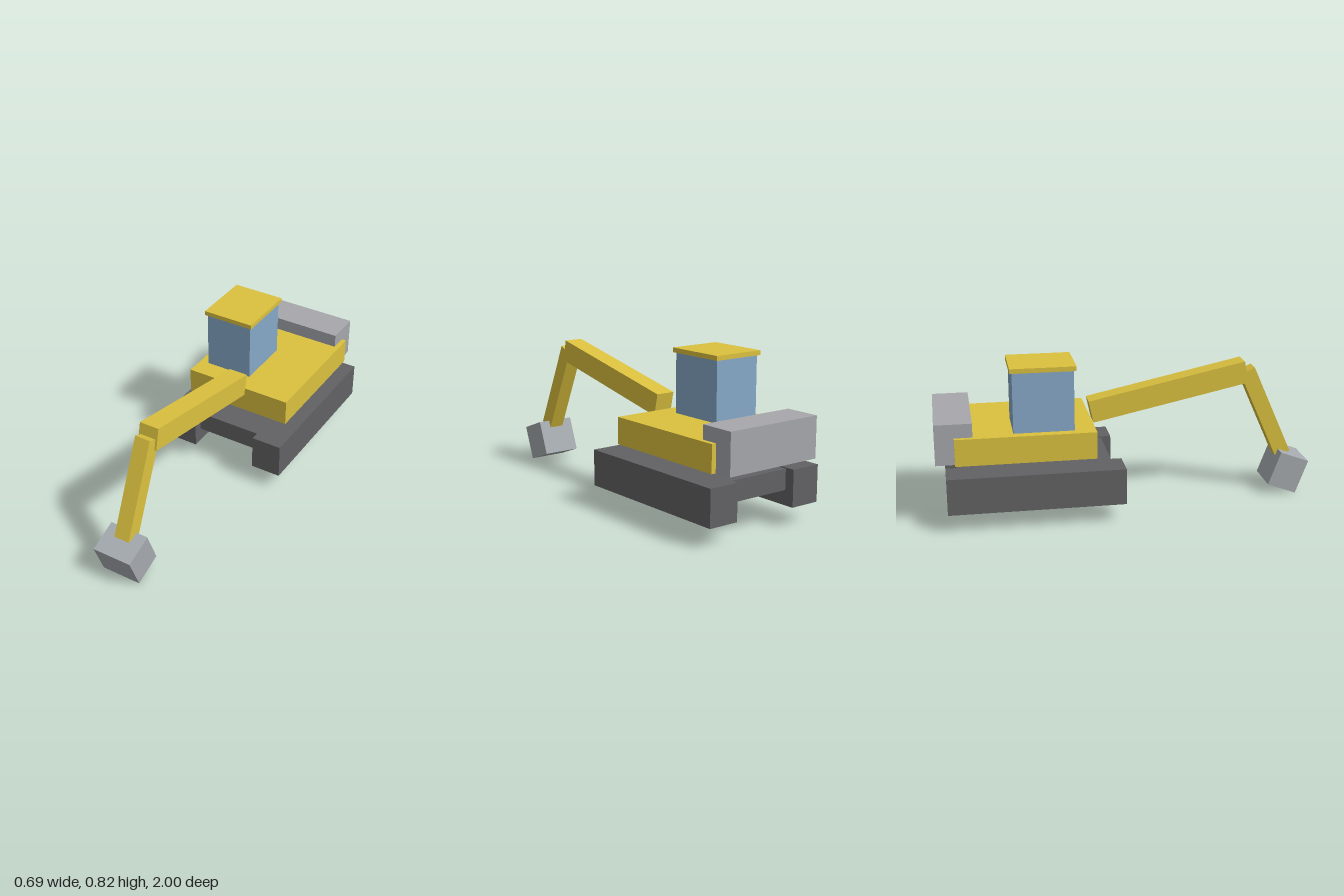
import * as THREE from 'three';

const paint = (name, color) => {
  const m = new THREE.MeshStandardMaterial({ color });
  m.name = name;
  return m;
};

export function createModel() {
  const group = new THREE.Group();
  const yellow = paint('yellow paint', 0xdbc13f);
  const dark = paint('dark rubber', 0x626264);
  const glass = paint('blue glass', 0x86a9c7);
  const steel = paint('bucket steel', 0xa5aaae);
  const ballast = paint('ballast grey', 0xa6a7ac);

  // Box by size and centre, optionally tilted about the x axis (degrees)
  function box(name, material, size, centre, tilt = 0) {
    const mesh = new THREE.Mesh(new THREE.BoxGeometry(...size), material);
    mesh.name = name;
    mesh.position.set(...centre);
    mesh.rotation.x = THREE.MathUtils.degToRad(tilt);
    group.add(mesh);
  }

  // Undercarriage
  for (const [side, name] of [[1, 'leftTrack'], [-1, 'rightTrack']]) {
    box(name, dark, [0.166, 0.19, 0.905], [side * 0.264, 0.195, -0.498]);
  }
  box('trackFrame', dark, [0.37, 0.107, 0.8], [0, 0.231, -0.498]);

  // Upper body
  box('body', yellow, [0.6, 0.141, 0.715], [0, 0.41, -0.545]);
  box('counterweight', ballast, [0.55, 0.212, 0.19], [0, 0.447, -0.905]);

  // Cab, set on the right
  box('cab', glass, [0.263, 0.32, 0.31], [-0.12, 0.635, -0.451]);
  box('cabRoof', yellow, [0.286, 0.024, 0.334], [-0.12, 0.806, -0.451]);

  // Digging arm
  box('boom', yellow, [0.106, 0.119, 0.855], [0, 0.597, 0.234], -12);
  box('stick', yellow, [0.084, 0.526, 0.084], [0, 0.448, 0.767], -24);
  box('bucket', steel, [0.214, 0.192, 0.165], [0, 0.12, 0.889], 20.6);

  return group;
}
